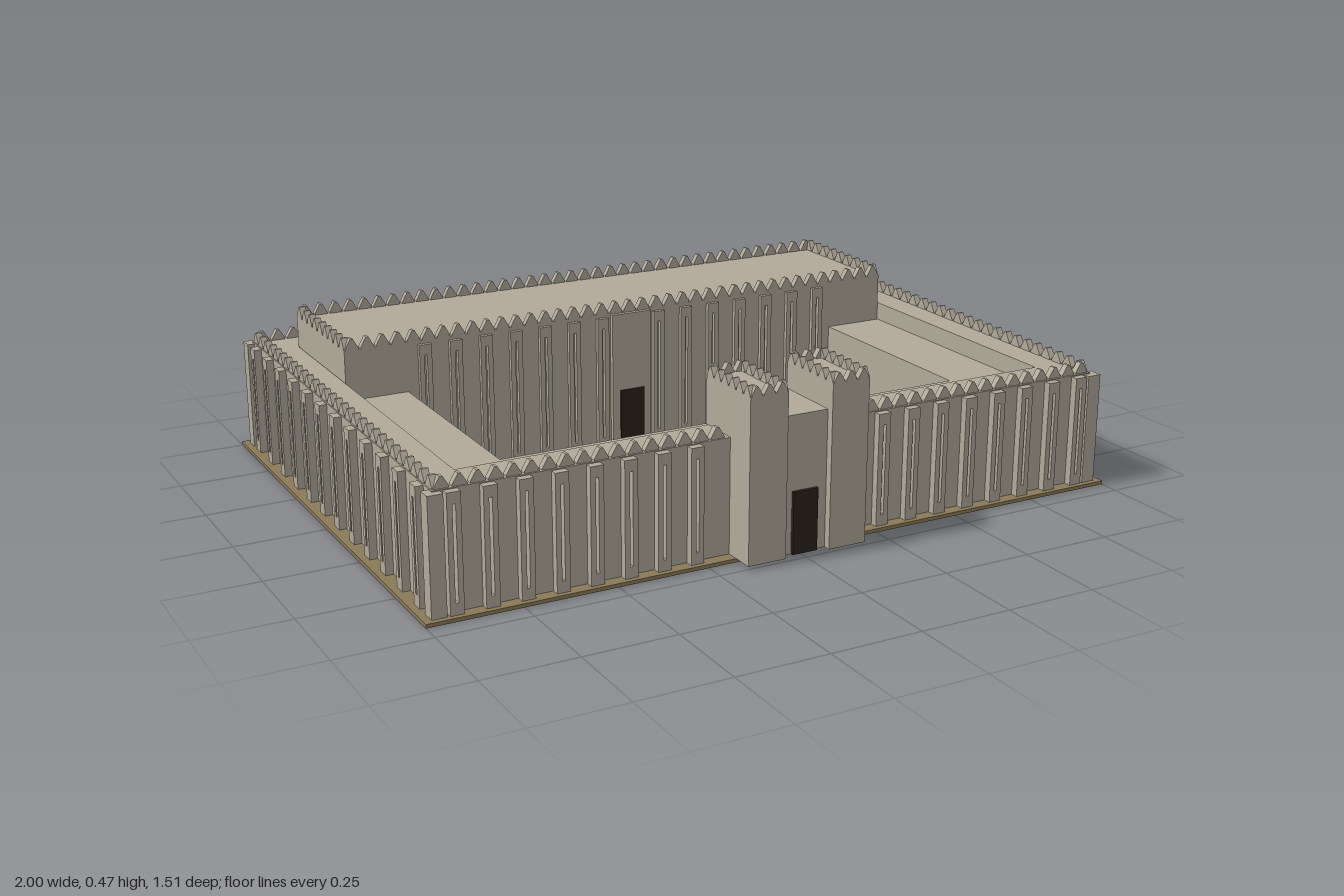
import * as THREE from 'three';
import { mergeGeometries } from 'three/addons/utils/BufferGeometryUtils.js';

const material = (color) => new THREE.MeshStandardMaterial({ color });
const stone = material(0xb1aa9a);
const earth = material(0x8b7a59);
const courtEarth = material(0xa69a80);
const darkWood = material(0x2a221a);
const brownWood = material(0x7d5b3e);

const BASE = 0.01;

// Box given by its limits on each axis
function block(x0, x1, y0, y1, z0, z1) {
  return new THREE.BoxGeometry(x1 - x0, y1 - y0, z1 - z0)
    .translate((x0 + x1) / 2, (y0 + y1) / 2, (z0 + z1) / 2);
}

// Anticlockwise rectangle on the ground plan
function rectangle(Type, [x0, x1, z0, z1]) {
  return new Type([[x0, -z1], [x1, -z1], [x1, -z0], [x0, -z0]]
    .map(([x, y]) => new THREE.Vector2(x, y)));
}

// Rectangular ring standing from y0 to y1
function ring(outer, inner, y0, y1) {
  const shape = rectangle(THREE.Shape, outer);
  shape.holes.push(rectangle(THREE.Path, inner));
  return new THREE.ExtrudeGeometry(shape, { depth: y1 - y0, bevelEnabled: false })
    .rotateX(-Math.PI / 2).translate(0, y0, 0);
}

// Tapered battlement tooth, centred on its own thickness
function tooth(width, height, thickness) {
  const shape = new THREE.Shape();
  shape.moveTo(-width / 2, 0);
  shape.lineTo(width / 2, 0);
  shape.lineTo(width / 2, height * 0.15);
  shape.lineTo(width * 0.1, height);
  shape.lineTo(-width * 0.1, height);
  shape.lineTo(-width / 2, height * 0.15);
  return new THREE.ExtrudeGeometry(shape, { depth: thickness, bevelEnabled: false })
    .translate(0, 0, -thickness / 2);
}

// Teeth along all four edges of a rectangle; skip(x, z) leaves gaps
function battlements([x0, x1, z0, z1], y, pitch, height, skip = () => false) {
  const parts = [];
  const t = 0.018;
  const edge = (from, to, place, turn) => {
    const n = Math.round((to - from) / pitch);
    const step = (to - from) / n;
    for (let i = 0; i < n; i++) {
      const [x, z] = place(from + (i + 0.5) * step);
      if (skip(x, z)) continue;
      parts.push(tooth(step * 0.84, height, t).rotateY(turn).translate(x, y, z));
    }
  };
  for (const z of [z0 + t / 2, z1 - t / 2]) edge(x0, x1, (s) => [s, z], 0);
  for (const x of [x0 + t / 2, x1 - t / 2]) edge(z0, z1, (s) => [x, s], Math.PI / 2);
  return mergeGeometries(parts);
}

// Pilaster with a slot down its middle, facing +z from z = 0
function pilaster(y0, y1, depth) {
  const w = 0.018, slot = 0.004;
  return mergeGeometries([
    block(-w, -slot, y0, y1, -0.004, depth),
    block(slot, w, y0, y1, -0.004, depth),
    block(-slot, slot, y0, y0 + 0.03, -0.004, depth),
    block(-slot, slot, y1 - 0.03, y1, -0.004, depth),
  ]);
}

// Evenly spaced positions, both ends included
const spread = (a, b, n) => Array.from({ length: n }, (_, i) => a + ((b - a) * i) / (n - 1));

export function createModel() {
  const model = new THREE.Group();
  const add = (name, geometry, mat = stone) => {
    const mesh = new THREE.Mesh(geometry, mat);
    mesh.name = name;
    model.add(mesh);
  };

  // Ground and courtyard floor
  add('groundSlab', block(-1, 1, 0, BASE, -0.755, 0.695), earth);
  add('courtyardFloor', block(-0.69, 0.69, BASE - 0.005, BASE + 0.003, -0.22, 0.41), courtEarth);

  // Outer wall and the lower roofs around the court
  const wall = [-0.96, 0.96, -0.717, 0.66];
  const wallTop = 0.32;
  const wallInside = [-0.86, 0.86, -0.6, 0.55];
  add('outerWall', ring(wall, wallInside, BASE, wallTop));
  add('courtyardRooms', ring(wallInside, [-0.68, 0.68, -0.25, 0.405], BASE, 0.268));
  add('wallBattlements', battlements([-0.957, 0.957, -0.714, 0.655], wallTop, 0.046, 0.03,
    (x, z) => z > 0.6 && Math.abs(x) < 0.18));

  // Pilasters on the four outer faces
  const pilasters = [];
  const depth = 0.021;
  const pilasterTop = wallTop - 0.003;
  for (const x of spread(-0.915, 0.915, 21)) {
    pilasters.push(pilaster(BASE, pilasterTop, depth).rotateY(Math.PI).translate(x, 0, wall[2]));
    if (Math.abs(x) > 0.2) {
      pilasters.push(pilaster(BASE, pilasterTop, depth).translate(x, 0, wall[3]));
    }
  }
  for (const side of [-1, 1]) {
    for (const z of spread(-0.65, 0.59, 12)) {
      pilasters.push(pilaster(BASE, pilasterTop, depth)
        .rotateY(side * Math.PI / 2).translate(side * wall[1], 0, z));
    }
    // Corner piers
    for (const z of [wall[2], wall[3]]) {
      const x = side * 0.96;
      pilasters.push(block(x - 0.02, x + 0.02, BASE, pilasterTop, z - 0.02, z + 0.02));
    }
  }
  add('wallPilasters', mergeGeometries(pilasters));

  // Great hall across the back
  const hall = [-0.857, 0.857, -0.61, -0.213];
  const hallTop = 0.408;
  add('hall', block(hall[0], hall[1], BASE, hallTop, hall[2], hall[3]));
  add('hallBattlements', battlements(hall, hallTop, 0.044, 0.031));
  add('hallPilasters', mergeGeometries(spread(-0.63, 0.63, 15)
    .filter((x) => Math.abs(x) > 0.07)
    .map((x) => pilaster(BASE, hallTop - 0.01, 0.012).translate(x, 0, hall[3]))));
  add('hallPortal', block(-0.062, 0.062, BASE, hallTop - 0.003, hall[3] - 0.01, -0.2));
  add('hallDoor', block(-0.038, 0.038, BASE, 0.178, -0.21, -0.195), darkWood);

  // Gatehouse: two towers with the gate between them
  for (const side of [-1, 1]) {
    const x = side * 0.118;
    const tower = [x - 0.054, x + 0.054, 0.54, 0.755];
    const name = side > 0 ? 'leftTower' : 'rightTower';
    add(name, block(tower[0], tower[1], BASE, 0.45, tower[2], tower[3]));
    add(name + 'Battlements', battlements(tower, 0.45, 0.036, 0.025));
  }
  add('gateBlock', block(-0.066, 0.066, BASE, 0.378, 0.545, 0.734));
  add('gateDoor', block(-0.036, 0.036, BASE, 0.178, 0.725, 0.743), darkWood);

  // Small block in the court
  add('courtyardBlock', block(-0.455, -0.405, BASE, 0.05, 0.195, 0.245), brownWood);

  return model;
}
